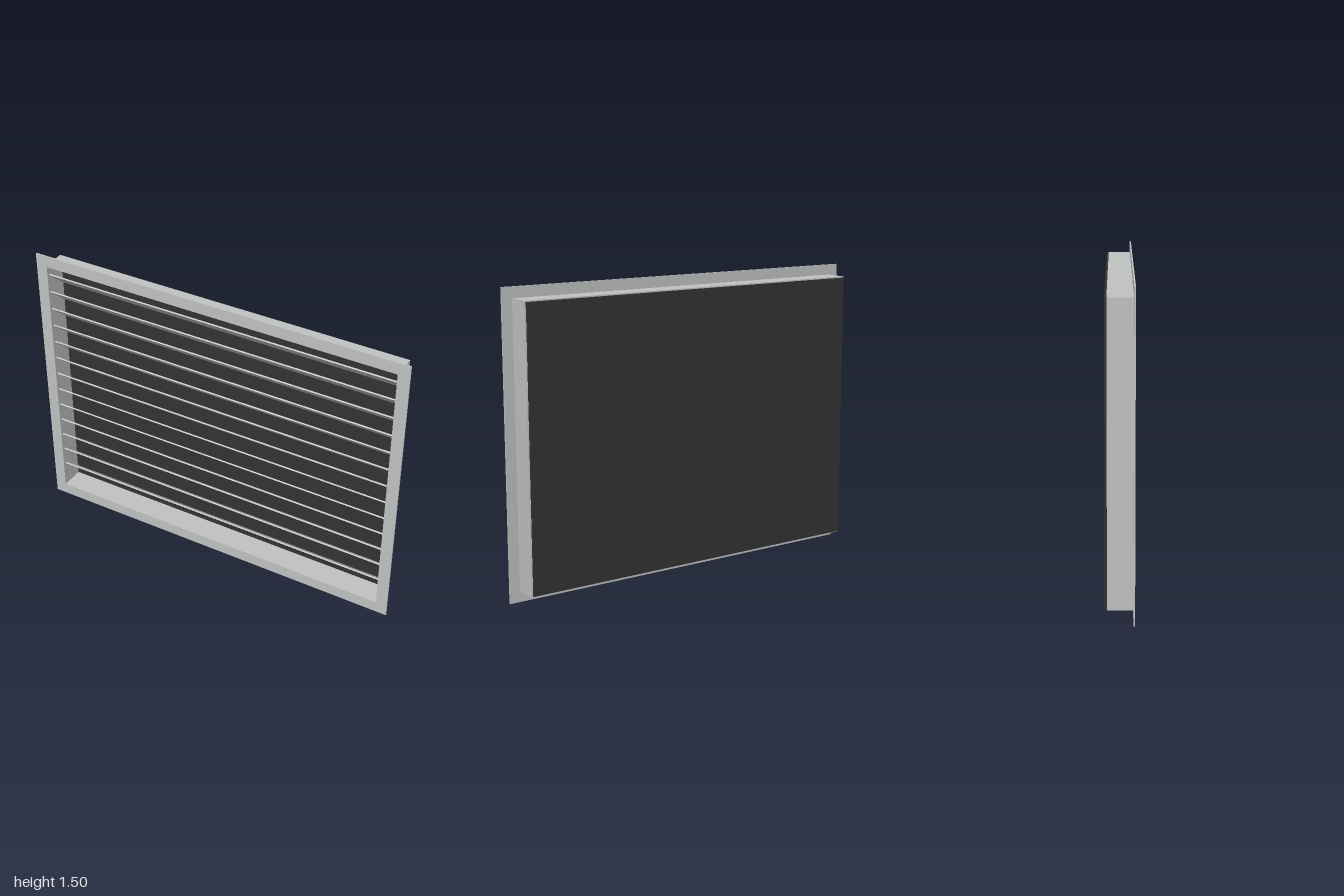
import * as THREE from 'three';

export function createModel() {
  const group = new THREE.Group();
  const metal = new THREE.MeshStandardMaterial({ color: 0xbfc2c1 });
  metal.name = 'light grey metal';
  const dark = new THREE.MeshStandardMaterial({ color: 0x333333 });
  dark.name = 'dark backing';

  const midY = 0.75;
  const innerW = 1.88, innerH = 1.38;

  // Rectangular ring centred on x = 0, y = midY, running from z0 to z1
  function ring(name, w, h, z0, z1) {
    const shape = new THREE.Shape();
    shape.moveTo(-w / 2, -h / 2);
    shape.lineTo(w / 2, -h / 2);
    shape.lineTo(w / 2, h / 2);
    shape.lineTo(-w / 2, h / 2);
    shape.closePath();
    const hole = new THREE.Path();
    hole.moveTo(-innerW / 2, -innerH / 2);
    hole.lineTo(-innerW / 2, innerH / 2);
    hole.lineTo(innerW / 2, innerH / 2);
    hole.lineTo(innerW / 2, -innerH / 2);
    hole.closePath();
    shape.holes.push(hole);
    const geo = new THREE.ExtrudeGeometry(shape, { depth: z1 - z0, bevelEnabled: false });
    const mesh = new THREE.Mesh(geo, metal);
    mesh.name = name;
    mesh.position.set(0, midY, z0);
    group.add(mesh);
  }

  // Front flange and the sleeve behind it
  ring('frontFlange', 2, 1.5, 0.06, 0.067);
  ring('sleeve', 1.892, 1.392, -0.057, 0.06);

  // Back panel closing the sleeve
  const panel = new THREE.Mesh(new THREE.BoxGeometry(innerW, innerH, 0.009), dark);
  panel.name = 'backPanel';
  panel.position.set(0, midY, -0.0625);
  group.add(panel);

  // Sloping slats, front edge high and back edge low
  const slats = new THREE.Group();
  slats.name = 'slats';
  const slatGeo = new THREE.BoxGeometry(innerW, 0.007, 0.14);
  const count = 13, pitch = 0.099;
  for (let i = 0; i < count; i++) {
    const slat = new THREE.Mesh(slatGeo, metal);
    slat.name = 'slat';
    slat.position.set(0, midY + (i - (count - 1) / 2) * pitch, 0);
    slat.rotation.x = -THREE.MathUtils.degToRad(42);
    slats.add(slat);
  }
  group.add(slats);

  return group;
}
